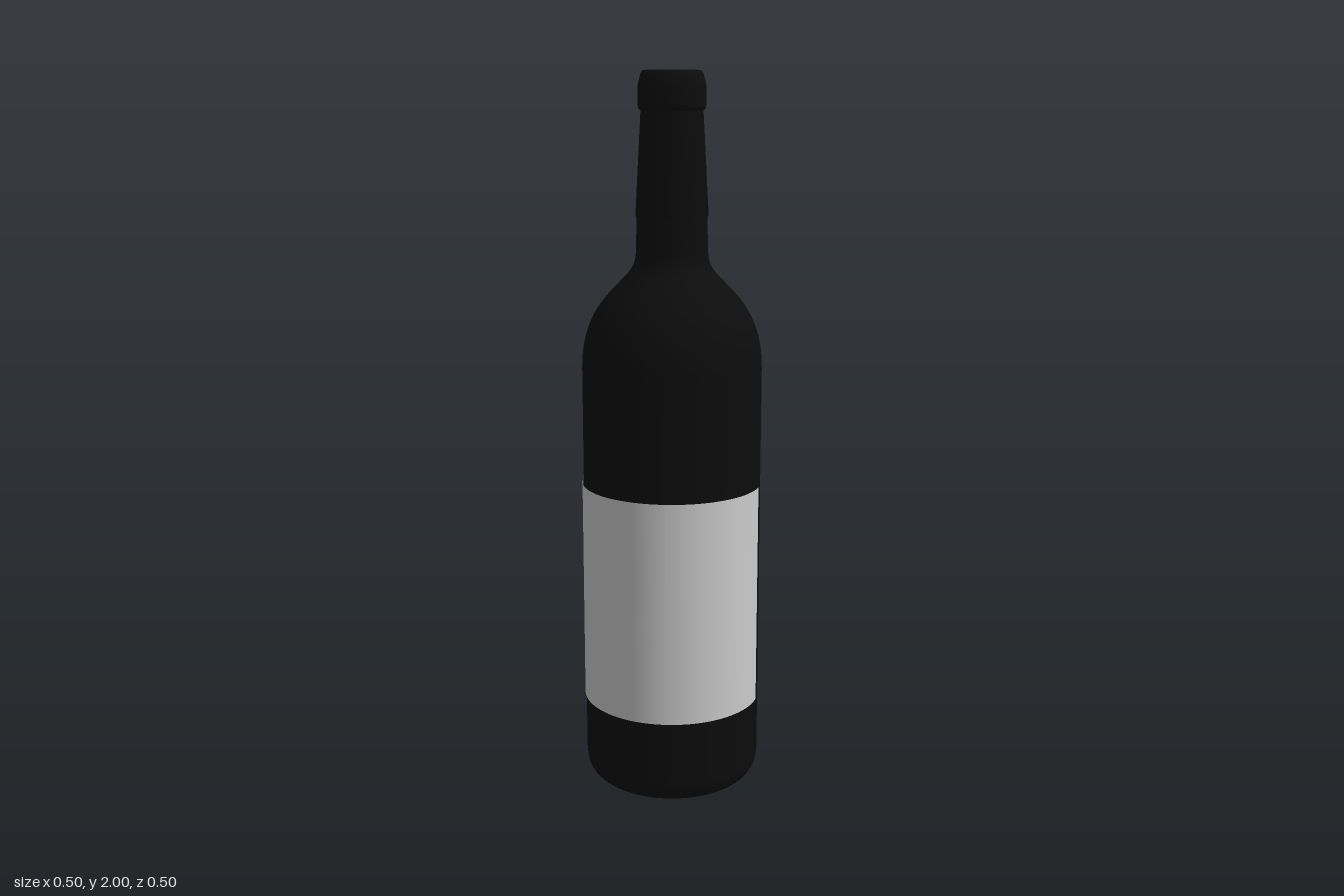
import * as THREE from 'three';
import { toCreasedNormals } from 'three/addons/utils/BufferGeometryUtils.js';

const SEGMENTS = 96;
const AXIS_Z = -0.004;

// Smooth run of profile points through [radius, height] pairs
function curve(pairs, divisions) {
  return new THREE.SplineCurve(pairs.map(([r, y]) => new THREE.Vector2(r, y))).getPoints(divisions);
}

function lathe(name, points, material) {
  const geometry = toCreasedNormals(new THREE.LatheGeometry(points, SEGMENTS), 0.7);
  const mesh = new THREE.Mesh(geometry, material);
  mesh.name = name;
  mesh.position.z = AXIS_Z;
  return mesh;
}

export function createModel() {
  const model = new THREE.Group();
  model.name = 'bottle';
  const glass = new THREE.MeshStandardMaterial({ color: 0x0c0c0c, side: THREE.DoubleSide });
  const paper = new THREE.MeshStandardMaterial({ color: 0xcccccc, side: THREE.DoubleSide });

  // Glass: hollow base, rounded heel, straight wall, shoulder and neck
  model.add(lathe('glassBody', [
    ...curve([[0, 0.075], [0.07, 0.065], [0.14, 0.035], [0.185, 0.004]], 12),
    ...curve([[0.195, 0], [0.215, 0.003], [0.235, 0.02], [0.246, 0.045], [0.249, 0.075]], 12),
    ...curve([[0.249, 1.2], [0.246, 1.25], [0.234, 1.305], [0.212, 1.355], [0.18, 1.4],
      [0.14, 1.442], [0.113, 1.472], [0.101, 1.5], [0.098, 1.54], [0.096, 1.63]], 36),
  ], glass));

  // Foil sleeve tapering up the neck
  model.add(lathe('neckFoil', [
    [0.094, 1.615], [0.098, 1.615], [0.099, 1.625], [0.084, 1.9],
  ].map(([r, y]) => new THREE.Vector2(r, y)), glass));

  // Bulging lip with a flat closed top
  model.add(lathe('lip', [
    new THREE.Vector2(0.083, 1.895),
    ...curve([[0.089, 1.9], [0.092, 1.912], [0.092, 1.955], [0.088, 1.975], [0.083, 1.993], [0.077, 2]], 16),
    new THREE.Vector2(0, 2),
  ], glass));

  // Paper label wrapped around the front
  const start = THREE.MathUtils.degToRad(-79);
  const sweep = THREE.MathUtils.degToRad(164);
  const label = new THREE.Mesh(
    new THREE.CylinderGeometry(0.252, 0.252, 0.63, 64, 1, true, start, sweep), paper);
  label.name = 'label';
  label.position.set(0, 0.56, -0.001);
  model.add(label);

  return model;
}
